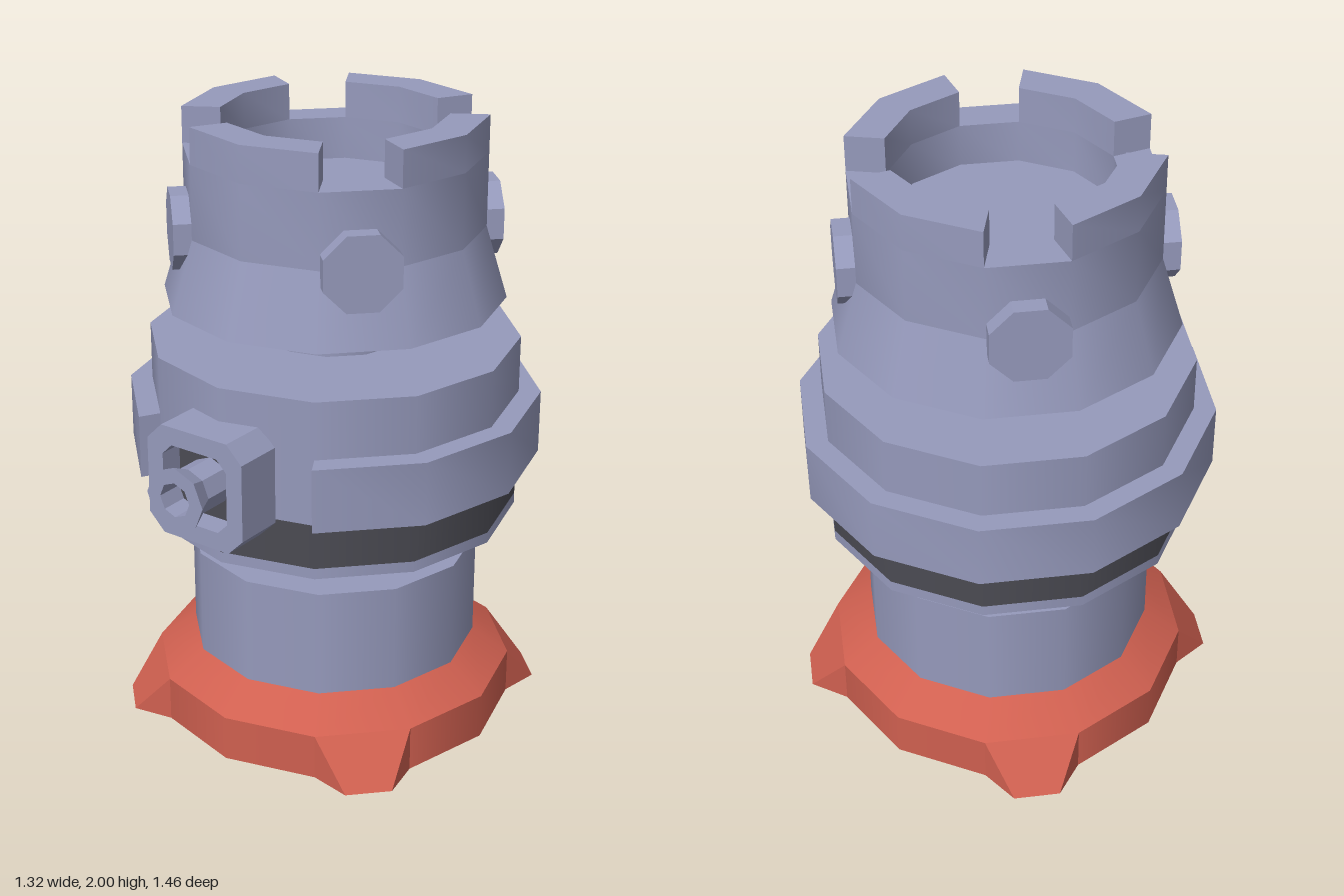
import * as THREE from 'three';
import { toCreasedNormals } from 'three/addons/utils/BufferGeometryUtils.js';
import { ConvexGeometry } from 'three/addons/geometries/ConvexGeometry.js';

const SIDES = 12;
const CREASE = 0.6;
const STEP = (Math.PI * 2) / SIDES;

export function createModel() {
  const blue = new THREE.MeshStandardMaterial({ color: 0x969abc });
  const red = new THREE.MeshStandardMaterial({ color: 0xd06050 });
  const dark = new THREE.MeshStandardMaterial({ color: 0x4b4b53 });
  blue.name = 'blueGrey';
  red.name = 'red';
  dark.name = 'darkGrey';

  const model = new THREE.Group();
  model.name = 'tower';
  const body = new THREE.Group();
  body.name = 'towerBody';
  body.position.z = -0.07;
  model.add(body);

  const add = (name, geometry, material, parent = body) => {
    const mesh = new THREE.Mesh(geometry, material);
    mesh.name = name;
    parent.add(mesh);
    return mesh;
  };

  // Twelve-sided drum between two heights
  const drum = (name, r0, y0, r1, y1, material = blue) => {
    const g = new THREE.CylinderGeometry(r1, r0, y1 - y0, SIDES);
    g.translate(0, (y0 + y1) / 2, 0);
    return add(name, g, material);
  };

  // Block following the drum's sides from one corner to another
  const arcBlock = (name, rOut, rIn, from, to, y0, y1) => {
    const pts = [];
    const at = (r, i) => new THREE.Vector2(r * Math.sin(i * STEP), -r * Math.cos(i * STEP));
    for (let i = from; i <= to; i++) pts.push(at(rOut, i));
    for (let i = to; i >= from; i--) pts.push(at(rIn, i));
    const g = new THREE.ExtrudeGeometry(new THREE.Shape(pts), { depth: y1 - y0, bevelEnabled: false });
    g.rotateX(-Math.PI / 2).translate(0, y0, 0);
    return add(name, toCreasedNormals(g, CREASE), blue);
  };

  // Square with cut corners
  const cutSquare = (h, c) => [
    [h, h - c], [h - c, h], [c - h, h], [-h, h - c],
    [-h, c - h], [c - h, -h], [h - c, -h], [h, c - h],
  ].map(([x, y]) => new THREE.Vector2(x, y));

  // Foot with four diagonal claws
  drum('foot', 0.59, 0, 0.59, 0.15, red);
  drum('footSlope', 0.59, 0.15, 0.47, 0.235, red);
  for (let k = 0; k < 4; k++) {
    const pts = [];
    for (const a of [STEP, 2 * STEP]) {
      for (const y of [0, 0.15]) {
        pts.push(new THREE.Vector3(0.59 * Math.sin(a), y, 0.59 * Math.cos(a)));
      }
    }
    pts.push(new THREE.Vector3(0.43, 0, 0.535), new THREE.Vector3(0.535, 0, 0.43));
    add('claw', new ConvexGeometry(pts), red).rotation.y = (k * Math.PI) / 2;
  }

  // Lower column and neck
  drum('lowerColumn', 0.47, 0.235, 0.47, 0.59);
  drum('lowerNeck', 0.235, 0.59, 0.235, 0.68);
  drum('lowerNeckTaper', 0.235, 0.68, 0.185, 0.71);

  // Middle drum with dark stripe and open ring
  drum('middleRim', 0.59, 0.71, 0.59, 0.745);
  drum('darkBand', 0.59, 0.745, 0.59, 0.89, dark);
  drum('middleDrum', 0.59, 0.89, 0.59, 1.29);
  arcBlock('outerRing', 0.66, 0.58, 1, 11, 0.9, 1.105);

  // Upper neck
  drum('upperNeck', 0.235, 1.29, 0.235, 1.385);
  drum('upperNeckTaper', 0.235, 1.385, 0.185, 1.42);

  // Hollow crown with four gaps
  drum('crownFlare', 0.54, 1.42, 0.47, 1.65);
  const wall = [[0.47, 1.65], [0.47, 1.885], [0.35, 1.885], [0.35, 1.74]]
    .map(([x, y]) => new THREE.Vector2(x, y));
  add('crownWall', toCreasedNormals(new THREE.LatheGeometry(wall, SIDES), CREASE), blue);
  drum('crownFloor', 0.35, 1.65, 0.35, 1.75);
  for (let k = 0; k < 4; k++) {
    arcBlock('battlement', 0.47, 0.35, k * 3 - 1, k * 3 + 1, 1.885, 2);
  }

  // Eight-sided studs below the gaps
  for (let k = 0; k < 4; k++) {
    const g = new THREE.CylinderGeometry(0.127, 0.127, 0.07, 8);
    g.rotateY(Math.PI / 8).rotateX(Math.PI / 2).translate(0, 1.652, 0.475);
    add('stud', toCreasedNormals(g, CREASE), blue).rotation.y = Math.PI / 4 + (k * Math.PI) / 2;
  }

  // Front nozzle in its framed housing
  const nozzle = new THREE.Group();
  nozzle.name = 'frontNozzle';
  nozzle.position.set(0, 1.005, 0.07);
  body.add(nozzle);
  const frame = new THREE.Shape(cutSquare(0.178, 0.055));
  frame.holes.push(new THREE.Path(cutSquare(0.12, 0.035)));
  const frameGeo = new THREE.ExtrudeGeometry(frame, { depth: 0.16, bevelEnabled: false });
  add('housing', frameGeo.translate(0, 0, 0.478), blue, nozzle);
  const back = new THREE.ShapeGeometry(new THREE.Shape(cutSquare(0.125, 0.035)));
  add('recess', back.translate(0, 0, 0.56), dark, nozzle);
  const barrel = [[0.075, 0.56], [0.075, 0.665], [0.105, 0.73], [0.055, 0.73], [0.055, 0.64]]
    .map(([x, y]) => new THREE.Vector2(x, y));
  const barrelGeo = new THREE.LatheGeometry(barrel, 8);
  add('barrel', toCreasedNormals(barrelGeo.rotateX(Math.PI / 2), 0.3), blue, nozzle);
  add('bore', new THREE.CircleGeometry(0.056, 8).translate(0, 0, 0.642), dark, nozzle);

  return model;
}
